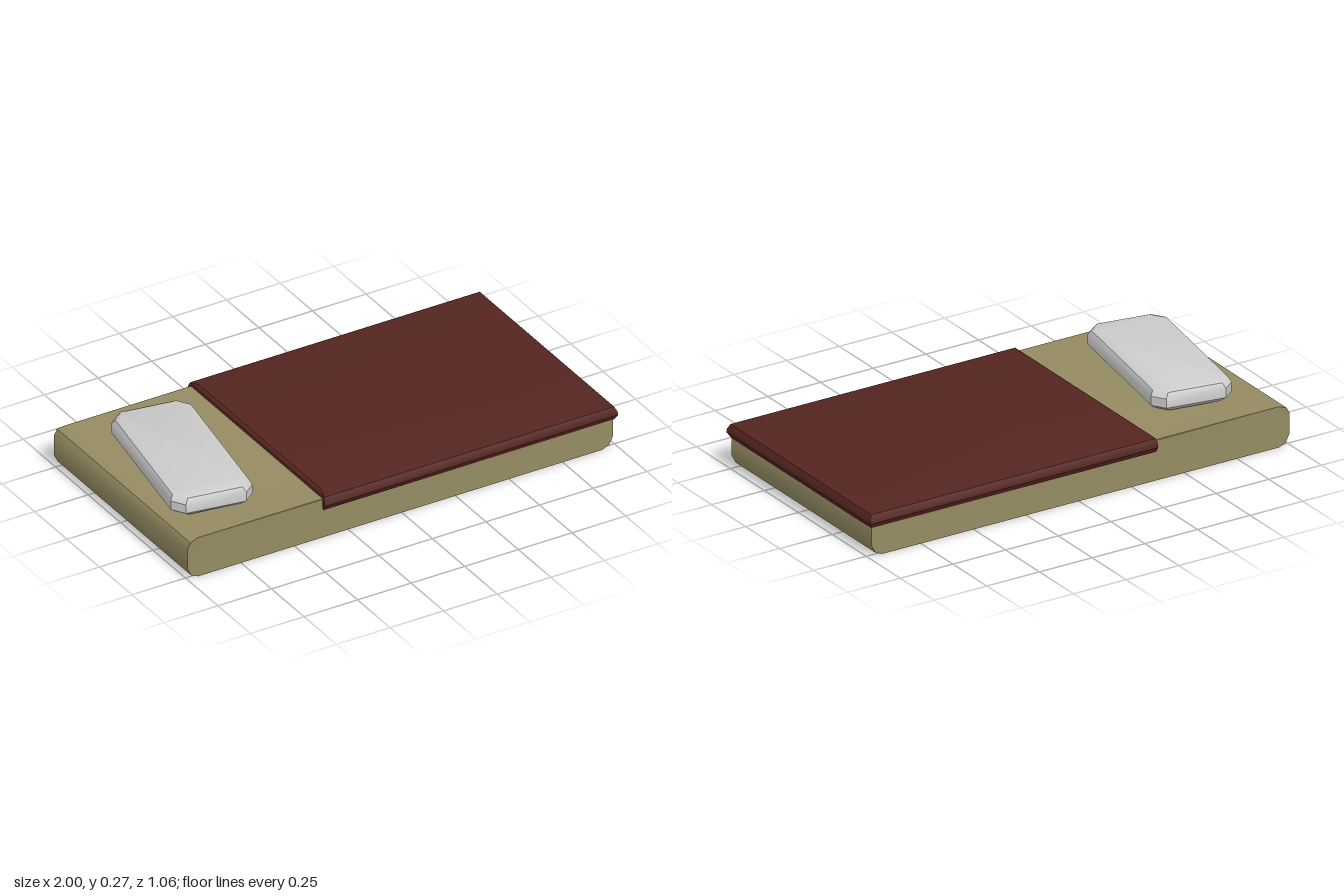
import * as THREE from 'three';
import { toCreasedNormals } from 'three/addons/utils/BufferGeometryUtils.js';

// Skin a stack of horizontal rings (bottom to top); each ring is a list of [x, z] at height y.
function loft(rings) {
  const n = rings[0].points.length;
  const positions = [], index = [];
  rings.forEach(({ y, points }) => points.forEach(([x, z]) => positions.push(x, y, z)));
  for (let r = 0; r < rings.length - 1; r++) {
    for (let i = 0; i < n; i++) {
      const a = r * n + i, b = r * n + (i + 1) % n;
      index.push(a, b, b + n, a, b + n, a + n);
    }
  }
  const top = (rings.length - 1) * n;
  for (let i = 1; i < n - 1; i++) {
    index.push(0, i + 1, i);
    index.push(top, top + i, top + i + 1);
  }
  const geometry = new THREE.BufferGeometry();
  geometry.setAttribute('position', new THREE.Float32BufferAttribute(positions, 3));
  geometry.setIndex(index);
  return toCreasedNormals(geometry, 0.6);
}

// Rectangle with cut corners, counter-clockwise seen from above.
function cutRectangle(hx, hz, cx, cz) {
  return [
    [hx, hz - cz], [hx, -hz + cz], [hx - cx, -hz], [-hx + cx, -hz],
    [-hx, -hz + cz], [-hx, hz - cz], [-hx + cx, hz], [hx - cx, hz],
  ];
}

function part(name, geometry, color) {
  const mesh = new THREE.Mesh(geometry, new THREE.MeshStandardMaterial({ color }));
  mesh.name = name;
  return mesh;
}

// Mattress: rounded at head and foot, straight along the sides.
function createMattress() {
  const halfWidth = 0.515, x0 = -1, x1 = 0.985, h = 0.175;
  const side = [[0.05, 0], [0.018, 0.014], [0, 0.05], [0, 0.14], [0.015, 0.166], [0.05, h]];
  const outline = [
    ...side.map(([dx, y]) => new THREE.Vector2(x1 - dx, y)),
    ...side.map(([dx, y]) => new THREE.Vector2(x0 + dx, y)).reverse(),
  ];
  const geometry = new THREE.ExtrudeGeometry(new THREE.Shape(outline), {
    depth: halfWidth * 2, bevelEnabled: false,
  });
  geometry.translate(0, 0, -halfWidth);
  // Draw the top edge slightly inwards
  const p = geometry.attributes.position;
  for (let i = 0; i < p.count; i++) {
    if (p.getY(i) > h - 0.001) p.setZ(i, p.getZ(i) * 0.985);
  }
  return part('mattress', toCreasedNormals(geometry, 0.6), 0x958b62);
}

// Blanket: flat slab, bulging over the sides and the foot.
function createBlanket() {
  const levels = [ // y, half width, head end, foot end
    [0.127, 0.517, -0.365, 0.987],
    [0.15, 0.53, -0.367, 1.0],
    [0.165, 0.528, -0.367, 0.998],
    [0.186, 0.518, -0.363, 0.988],
    [0.196, 0.47, -0.35, 0.955],
  ];
  const rings = levels.map(([y, w, a, b]) => ({ y, points: [[b, w], [b, -w], [a, -w], [a, w]] }));
  return part('blanket', loft(rings), 0x552520);
}

// Pillow: soft-edged block with cut corners, lying askew.
function createPillow() {
  const levels = [[0, 0.035], [0.008, 0.02], [0.028, 0], [0.068, 0], [0.09, 0.012], [0.098, 0.028]];
  const rings = levels.map(([y, inset]) => ({
    y, points: cutRectangle(0.175 - inset, 0.371 - inset, 0.045, 0.05),
  }));
  const pillow = part('pillow', loft(rings), 0xcccccc);
  pillow.position.set(-0.725, 0.174, 0.017);
  pillow.rotation.y = -0.165;
  return pillow;
}

export function createModel() {
  const group = new THREE.Group();
  group.name = 'bedding';
  group.add(createMattress(), createBlanket(), createPillow());
  return group;
}
